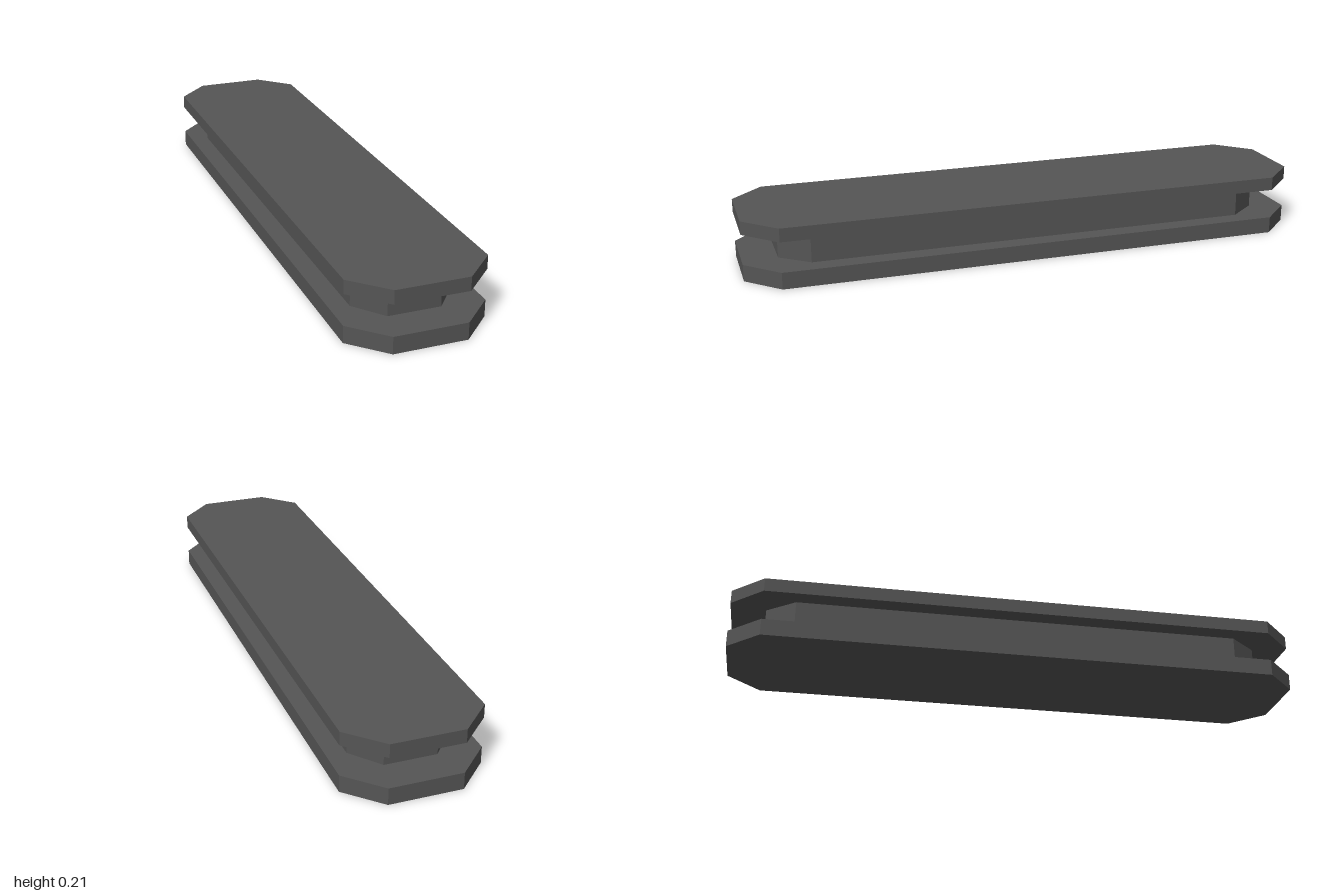
import * as THREE from 'three';

// Upright slab with an octagonal outline: half sizes (hx, hz), end flat half width fx, side flat half length fz
function chamferedSlab(name, hx, hz, fx, fz, y0, y1, material) {
  const outline = new THREE.Shape([
    [fx, -hz], [hx, -fz], [hx, fz], [fx, hz],
    [-fx, hz], [-hx, fz], [-hx, -fz], [-fx, -hz],
  ].map(([x, z]) => new THREE.Vector2(x, z)));
  const geometry = new THREE.ExtrudeGeometry(outline, { depth: y1 - y0, bevelEnabled: false });
  geometry.rotateX(-Math.PI / 2);
  geometry.translate(0, y0, 0);
  const mesh = new THREE.Mesh(geometry, material);
  mesh.name = name;
  return mesh;
}

export function createModel() {
  const model = new THREE.Group();
  model.name = 'chamferedBar';
  const darkGrey = new THREE.MeshStandardMaterial({ color: 0x555555, flatShading: true });
  darkGrey.name = 'darkGrey';

  // Two wide plates joined by a narrower, shorter core
  model.add(
    chamferedSlab('bottomPlate', 0.235, 1, 0.123, 0.888, 0, 0.058, darkGrey),
    chamferedSlab('core', 0.17, 0.88, 0.089, 0.78, 0.058, 0.163, darkGrey),
    chamferedSlab('topPlate', 0.235, 1, 0.123, 0.888, 0.163, 0.21, darkGrey),
  );
  return model;
}
